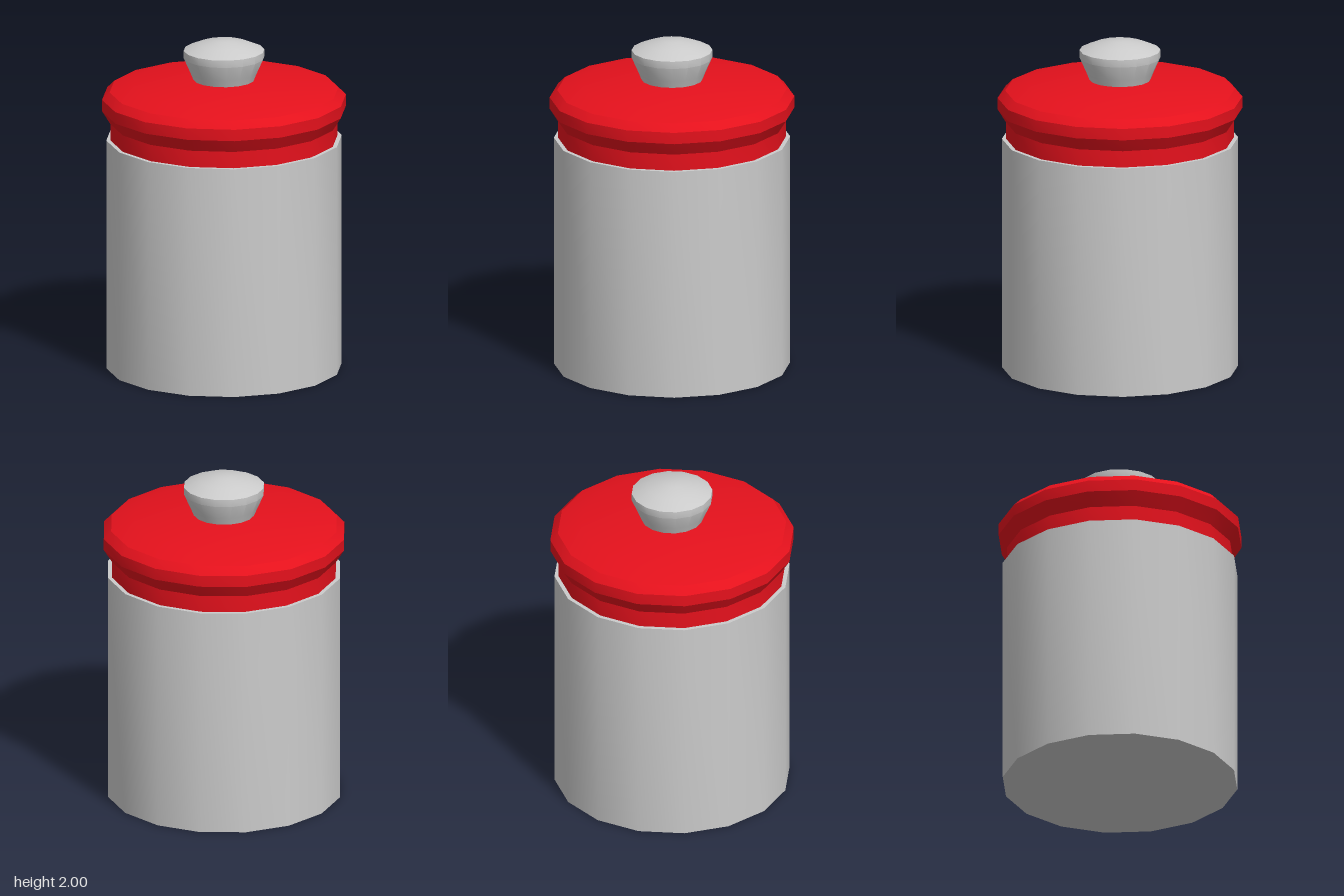
import * as THREE from 'three';
import { toCreasedNormals } from 'three/addons/utils/BufferGeometryUtils.js';

const SIDES = 16;
const grey = new THREE.MeshStandardMaterial({ color: 0xcccccc });
const red = new THREE.MeshStandardMaterial({ color: 0xe5111c });

// Turned part: profile of [radius, height] from the bottom axis, outward and up
function turned(name, profile, material) {
  const points = profile.map(([r, y]) => new THREE.Vector2(r, y));
  const geometry = toCreasedNormals(new THREE.LatheGeometry(points, SIDES), 0.45);
  const mesh = new THREE.Mesh(geometry, material);
  mesh.name = name;
  return mesh;
}

export function createModel() {
  const model = new THREE.Group();
  model.name = 'canister';

  // Hollow body with a thin rim
  model.add(turned('body', [
    [0, 0], [0.7, 0], [0.7, 1.4], [0.67, 1.4], [0.67, 0.03], [0, 0.03],
  ], grey));

  // Lid: neck, flared band, bevel and shallow dome
  model.add(turned('lid', [
    [0, 1.37], [0.675, 1.37], [0.675, 1.5], [0.725, 1.58], [0.725, 1.65],
    [0.68, 1.695], [0.54, 1.73], [0.2, 1.76], [0, 1.765],
  ], red));

  // Knob: tapered stem with a domed cap
  model.add(turned('knob', [
    [0, 1.75], [0.178, 1.75], [0.2, 1.805], [0.24, 1.895], [0.24, 1.94],
    [0.15, 1.978], [0.05, 1.998], [0, 2],
  ], grey));

  return model;
}
